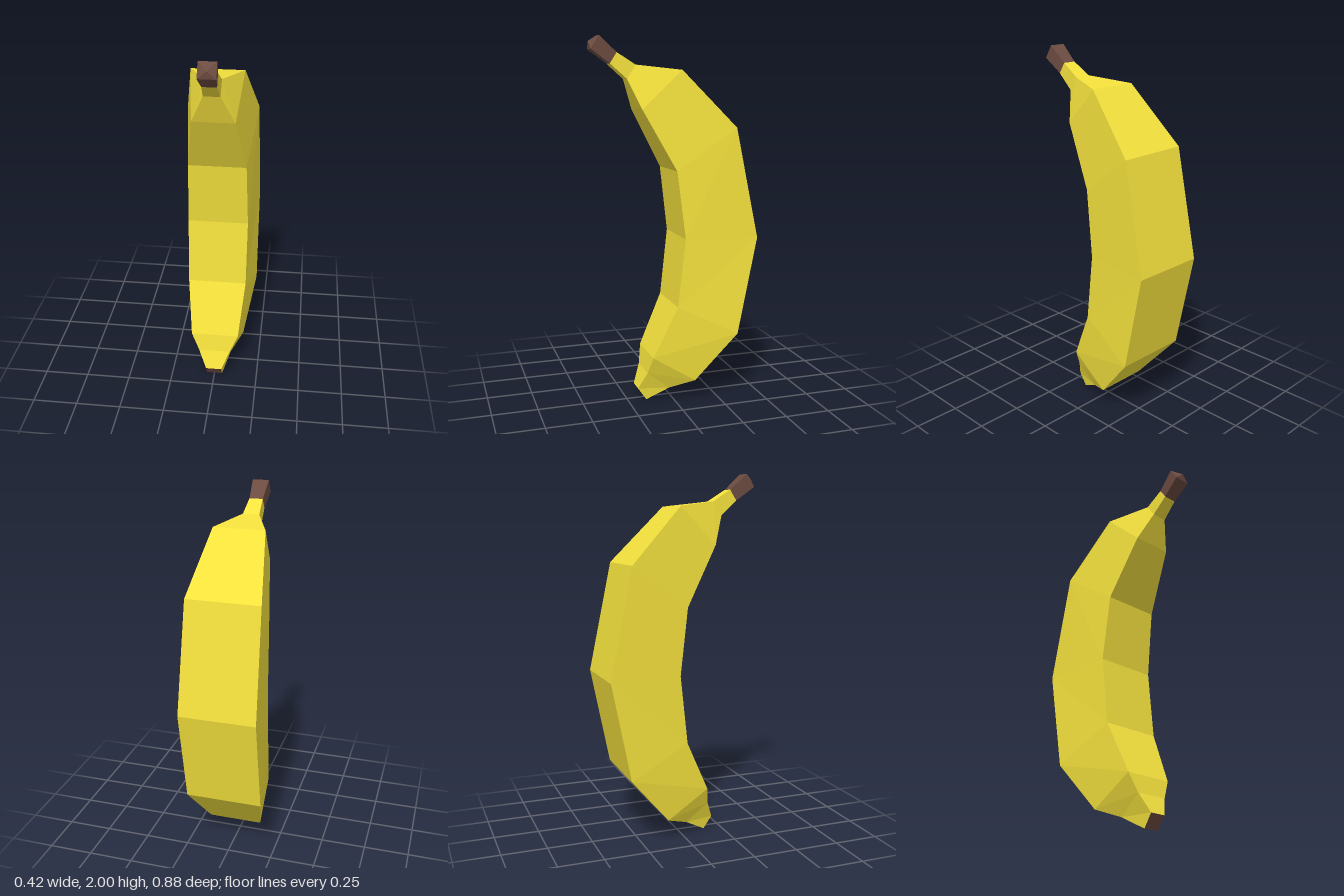
import * as THREE from 'three';

// Each ring is a four-cornered section: front z, y, half width, then back z, y, half width
const PEEL = [
  [0.196, 0.07, 0.045, 0.148, 0.0, 0.045],
  [0.153, 0.17, 0.09, 0.026, 0.07, 0.085],
  [0.132, 0.27, 0.135, -0.106, 0.122, 0.15],
  [0.0, 0.555, 0.165, -0.333, 0.39, 0.21],
  [-0.042, 0.93, 0.168, -0.44, 0.926, 0.21],
  [0.003, 1.296, 0.158, -0.317, 1.524, 0.2],
  [0.18, 1.62, 0.112, -0.03, 1.825, 0.14],
  [0.243, 1.778, 0.043, 0.196, 1.852, 0.045],
  [0.333, 1.857, 0.037, 0.296, 1.915, 0.037],
];
const STEM = [PEEL[8], [0.435, 1.93, 0.045, 0.39, 2.0, 0.045]];
const STEM_TIP = [0, 1.97, 0.44];

// Counter-clockwise corners seen from above
const corners = ([fz, fy, fw, bz, by, bw]) => [[fw, fy, fz], [bw, by, bz], [-bw, by, bz], [-fw, fy, fz]];

// Join successive rings with quads
function skin(rings) {
  const out = [];
  for (let r = 0; r < rings.length - 1; r++) {
    const a = corners(rings[r]), b = corners(rings[r + 1]);
    for (let i = 0; i < 4; i++) {
      const j = (i + 1) % 4;
      // the right side takes the mirrored diagonal of the left
      if (i === 2) out.push(a[i], a[j], b[i], a[j], b[j], b[i]);
      else out.push(a[i], a[j], b[j], a[i], b[j], b[i]);
    }
  }
  return out;
}

function part(name, triangles, color) {
  const geometry = new THREE.BufferGeometry();
  geometry.setAttribute('position', new THREE.Float32BufferAttribute(triangles.flat(), 3));
  geometry.computeVertexNormals();
  const mesh = new THREE.Mesh(geometry, new THREE.MeshStandardMaterial({ color, flatShading: true }));
  mesh.name = name;
  return mesh;
}

export function createModel() {
  const group = new THREE.Group();
  group.name = 'banana';

  // Curved yellow body with its tapering neck
  group.add(part('peel', skin(PEEL), 0xf4e13d));

  // Brown stem closed by a shallow pyramid
  const stem = skin(STEM);
  const top = corners(STEM[1]);
  for (let i = 0; i < 4; i++) stem.push(top[i], top[(i + 1) % 4], STEM_TIP);
  group.add(part('stem', stem, 0x6d4c41));

  // Dark flat end at the bottom
  const [a, b, c, d] = corners(PEEL[0]);
  group.add(part('blossomEnd', [a, c, b, a, d, c], 0x6d4c41));

  return group;
}
